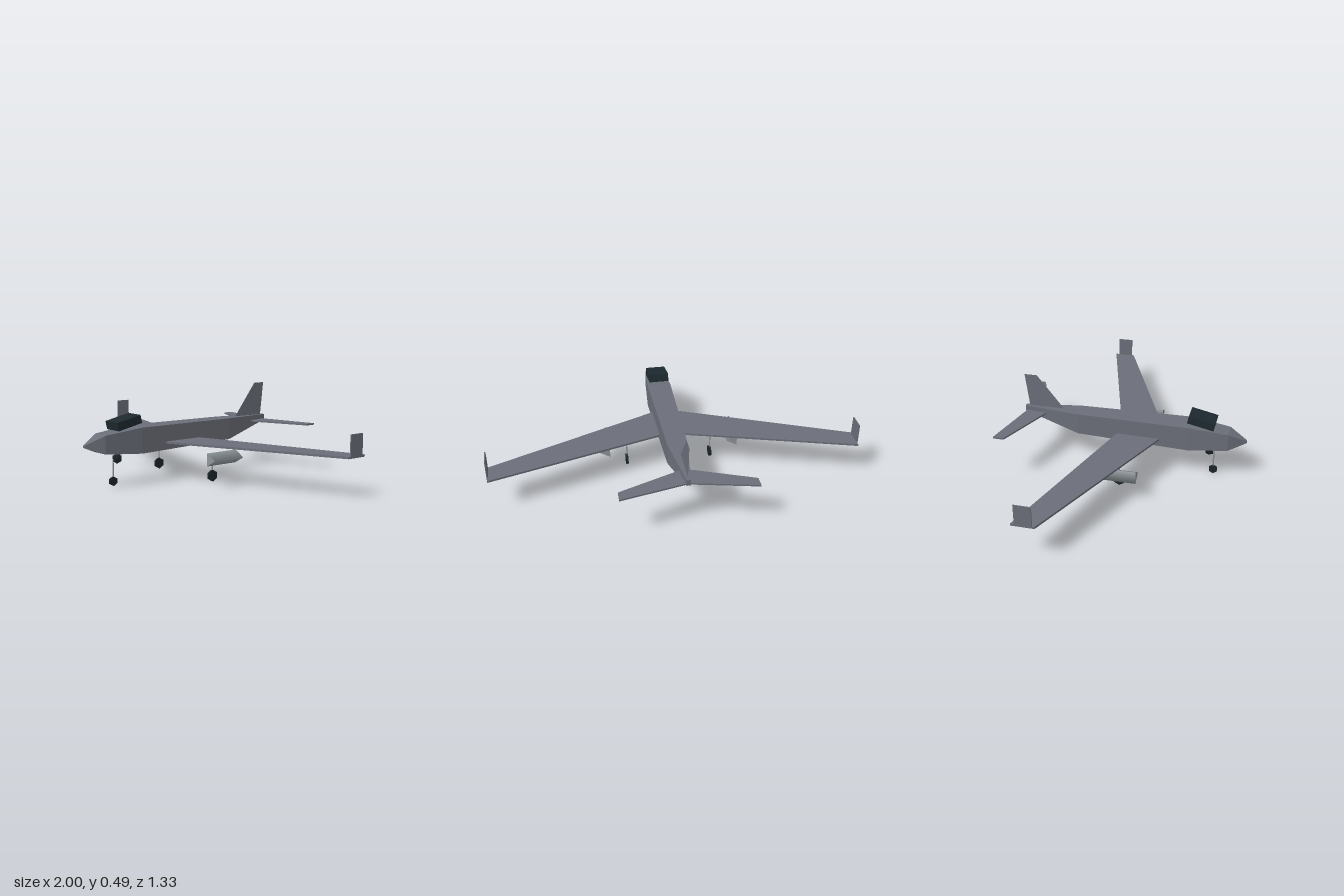
import * as THREE from 'three';

const mat = (name, color) => {
  const m = new THREE.MeshStandardMaterial({ color });
  m.name = name;
  return m;
};

export function createModel() {
  const model = new THREE.Group();
  model.name = 'aircraft';

  const skin = mat('greySkin', 0x6b6f79);
  const thinSkin = mat('greyThinSkin', 0x6b6f79);
  thinSkin.side = THREE.DoubleSide;
  const metal = mat('lightMetal', 0x8f979c);
  const glass = mat('darkGlass', 0x1d2a30);
  const rubber = mat('darkRubber', 0x1b252a);

  const add = (name, geometry, material, x = 0, y = 0, z = 0) => {
    const mesh = new THREE.Mesh(geometry, material);
    mesh.name = name;
    mesh.position.set(x, y, z);
    model.add(mesh);
    return mesh;
  };

  // Fuselage: rectangular sections [z, half width, bottom, top], nose to tail
  const sections = [
    [0.665, 0.005, 0.219, 0.231],
    [0.565, 0.05, 0.181, 0.279],
    [0.345, 0.068, 0.165, 0.304],
    [-0.28, 0.054, 0.181, 0.302],
    [-0.6, 0.011, 0.266, 0.299],
  ];
  const rings = sections.map(([z, w, b, t]) => [[-w, b, z], [w, b, z], [w, t, z], [-w, t, z]]);
  const pos = [];
  const quad = (a, b, c, d) => pos.push(...a, ...b, ...c, ...a, ...c, ...d);
  for (let i = 0; i < rings.length - 1; i++) {
    const front = rings[i], back = rings[i + 1];
    for (let k = 0; k < 4; k++) {
      const n = (k + 1) % 4;
      quad(front[k], back[k], back[n], front[n]);
    }
  }
  quad(...rings[0]);
  quad(...rings[rings.length - 1].slice().reverse());
  const body = new THREE.BufferGeometry();
  body.setAttribute('position', new THREE.Float32BufferAttribute(pos, 3));
  body.computeVertexNormals();
  add('fuselage', body, skin);

  // Tilted canopy block
  add('canopy', new THREE.BoxGeometry(0.112, 0.045, 0.15), glass, 0, 0.333, 0.417).rotation.x = 0.215;

  // Horizontal plate from an outline of [x, z] points
  const plate = (points, side, depth) => {
    const shape = new THREE.Shape(points.map(([x, z]) => new THREE.Vector2(x * side, -z)));
    return new THREE.ExtrudeGeometry(shape, { depth, bevelEnabled: false }).rotateX(-Math.PI / 2);
  };

  // Wheel on a strut
  const gear = (name, x, z, r, top) => {
    add(name + 'Strut', new THREE.CylinderGeometry(0.004, 0.004, top - r, 6), metal, x, (top + r) / 2, z);
    const wheel = new THREE.CylinderGeometry(r, r, 0.013, 6).rotateZ(Math.PI / 2).rotateX(Math.PI / 2);
    // Turn a corner of the hexagon downwards
    wheel.computeBoundingBox();
    if (wheel.boundingBox.max.y < r * 0.95) wheel.rotateX(Math.PI / 6);
    add(name + 'Wheel', wheel, rubber, x, r, z);
  };

  for (const [label, s] of [['left', 1], ['right', -1]]) {
    add(label + 'Wing', plate([[0.05, 0.195], [0.997, -0.205], [0.997, -0.325], [0.05, -0.05]], s, 0.011), skin, 0, 0.203);
    add(label + 'Winglet', new THREE.BoxGeometry(0.006, 0.117, 0.088), skin, s * 0.997, 0.264, -0.26);
    add(label + 'Tailplane', plate([[0.01, -0.47], [0.355, -0.605], [0.355, -0.665], [0.01, -0.59]], s, 0.009), skin, 0, 0.264);
    // Three-sided pod, corner towards +x on both sides
    add(label + 'Engine', new THREE.CylinderGeometry(0.04, 0.04, 0.2, 3).rotateY(Math.PI / 2).rotateX(Math.PI / 2),
      metal, s * 0.36, 0.145, 0.03);
    gear(label + 'Gear', s * 0.24, 0.007, 0.032, 0.145);
  }
  gear('noseGear', 0, 0.488, 0.025, 0.142);

  // Tail fin: flat sheet on the centre line
  const fin = new THREE.Shape([[0.375, 0.3], [0.577, 0.295], [0.6, 0.491], [0.527, 0.491]]
    .map(([x, y]) => new THREE.Vector2(x, y)));
  add('tailFin', new THREE.ShapeGeometry(fin).rotateY(Math.PI / 2), thinSkin);

  // Sensor ball under the nose
  add('sensorBall', new THREE.SphereGeometry(0.028, 6, 3), rubber, 0, 0.143, 0.463);

  return model;
}
